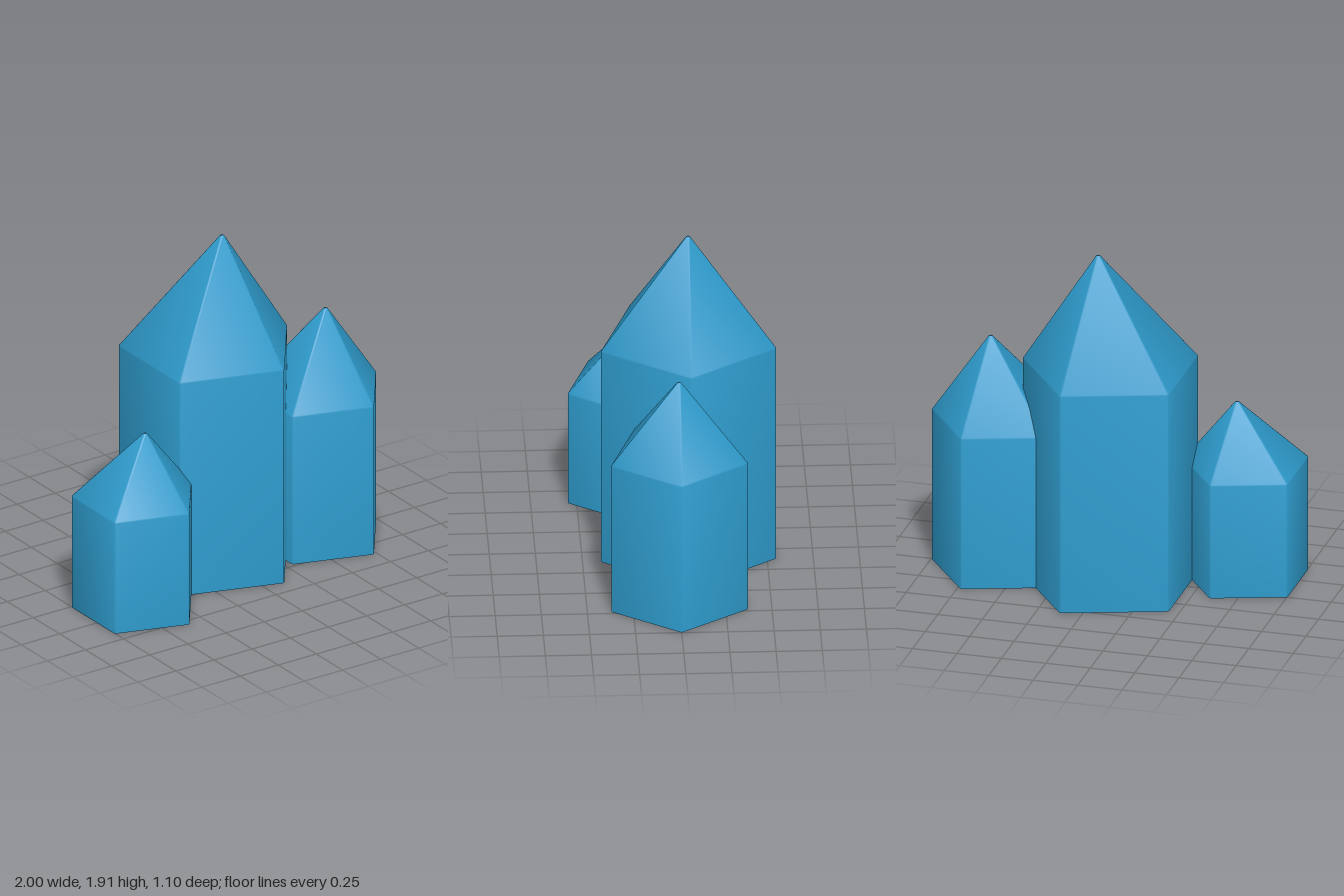
import * as THREE from 'three';

const SIDES = 5, BEVEL = 0.006, TIP = 0.01;
const material = new THREE.MeshStandardMaterial({ color: 0x2e9bcc });

// Five-sided prism with narrow softened edges and an off-centre pointed roof
function crystal(name, x, z, radius, shoulder, height) {
  const lean = 0.15 * radius;
  const slope = Math.atan2(0.809 * radius, height - shoulder);
  // radius, height, sideways shift, normal elevation
  const rings = [
    [radius, 0, 0, -Math.PI / 2],          // base cap
    [radius, 0, 0, 0],                     // foot of walls
    [radius, shoulder - BEVEL, 0, slope * 0.25],
    [radius - BEVEL / 2, shoulder + BEVEL / 2, 0, slope * 0.75],
    [TIP, height, lean, slope],            // tip
  ];
  const n = SIDES * 2, pos = [], nor = [], index = [];
  for (const [r, y, shift, tilt] of rings) {
    const w = Math.min(BEVEL, r * 0.4);
    for (let i = 0; i < n; i++) {
      const a = Math.floor(i / 2) * 2 * Math.PI / SIDES;
      const s = i % 2 ? 1 : -1;
      pos.push(r * Math.cos(a) - s * w * Math.sin(a) + shift, y,
        r * Math.sin(a) + s * w * Math.cos(a));
      const b = a + s * Math.PI / SIDES / 2;
      nor.push(Math.cos(tilt) * Math.cos(b), Math.sin(tilt), Math.cos(tilt) * Math.sin(b));
    }
  }
  // walls, shoulder bevel and roof
  for (let j = 1; j < rings.length - 1; j++) {
    for (let i = 0; i < n; i++) {
      const k = (i + 1) % n;
      const a = j * n + i, b = j * n + k, c = a + n, d = b + n;
      index.push(a, c, b, b, c, d);
    }
  }
  // base and tip caps
  const top = (rings.length - 1) * n;
  for (let i = 1; i < n - 1; i++) index.push(0, i, i + 1, top, top + i + 1, top + i);

  const geometry = new THREE.BufferGeometry();
  geometry.setAttribute('position', new THREE.Float32BufferAttribute(pos, 3));
  geometry.setAttribute('normal', new THREE.Float32BufferAttribute(nor, 3));
  geometry.setIndex(index);
  const mesh = new THREE.Mesh(geometry, material);
  mesh.name = name;
  mesh.position.set(x, 0, z);
  return mesh;
}

export function createModel() {
  const group = new THREE.Group();
  group.name = 'crystalCluster';
  group.add(
    crystal('tallCrystal', -0.035, -0.075, 0.497, 1.27, 1.915),
    crystal('mediumCrystal', 0.608, 0, 0.387, 0.88, 1.345),
    crystal('smallCrystal', -0.714, 0.21, 0.353, 0.66, 1.025),
  );
  return group;
}
